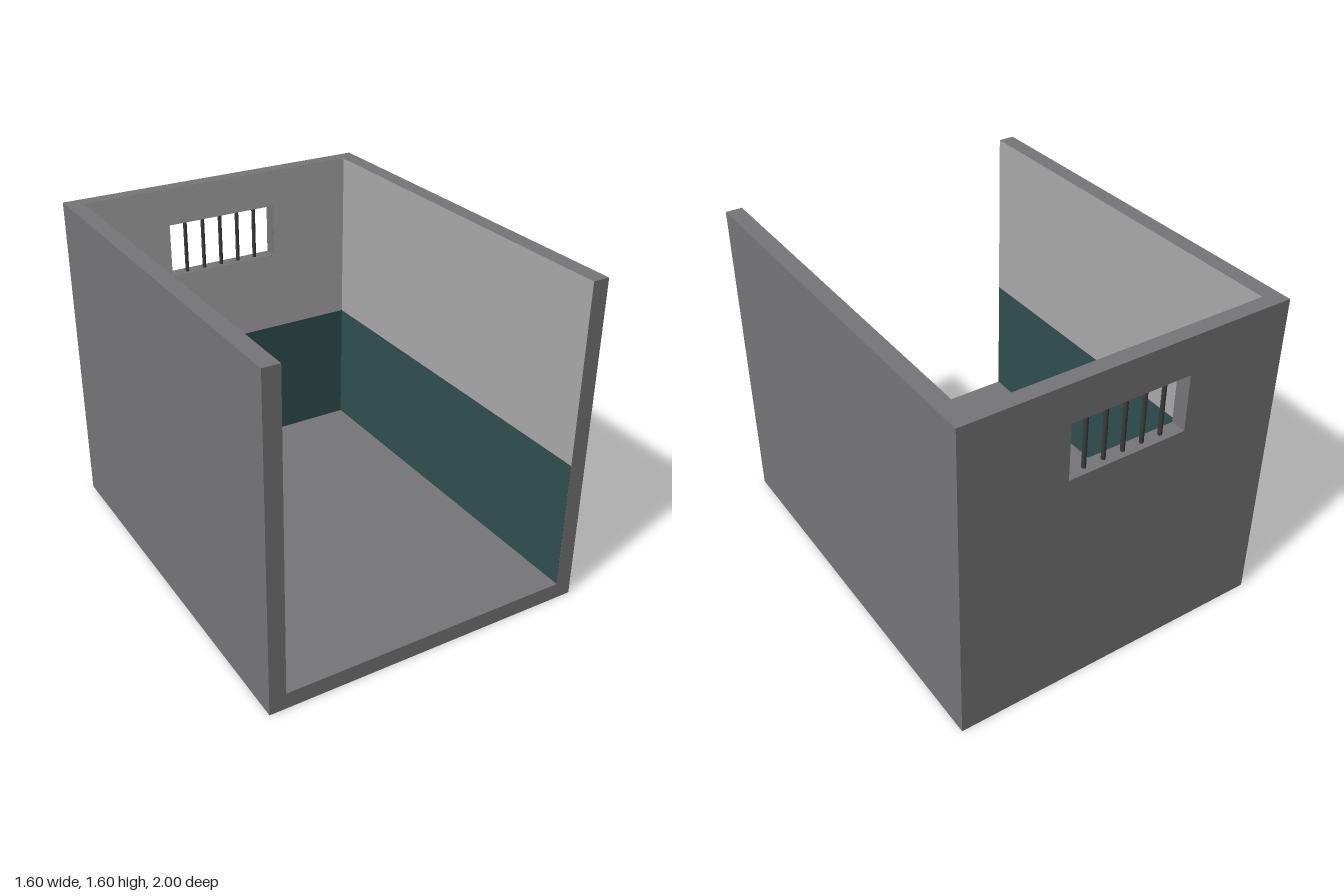
import * as THREE from 'three';

const W = 0.8, H = 1.6, D = 1, T = 0.08;       // half width, height, half depth, wall thickness
const IN = W - T, BACK = -0.925, PAINT = 0.725; // inner half width, back wall face, top of dado
const WIN = { x: 0.293, y0: 1.14, y1: 1.415 };

const material = (name, color, side = THREE.FrontSide) =>
  new THREE.MeshStandardMaterial({ name, color, side });

const polygon = (points) => new THREE.Shape(points.map(([x, y]) => new THREE.Vector2(x, y)));
const rectPoints = (x0, y0, x1, y1) => [[x0, y0], [x1, y0], [x1, y1], [x0, y1]];

// Rectangle with the window opening cut out
function windowedRect(x0, y0, x1, y1) {
  const shape = polygon(rectPoints(x0, y0, x1, y1));
  shape.holes.push(polygon(rectPoints(-WIN.x, WIN.y0, WIN.x, WIN.y1).reverse()));
  return shape;
}

export function createModel() {
  const concrete = material('concrete grey', 0x767678);
  const plaster = material('light plaster', 0xa9a9a9);
  const dado = material('dark green paint', 0x2f4f4d);
  const iron = material('dark iron', 0x3c3c3e);

  const model = new THREE.Group();
  model.name = 'cellRoom';
  const add = (name, geometry, mat, x = 0, y = 0, z = 0, ry = 0) => {
    const mesh = new THREE.Mesh(geometry, mat);
    mesh.name = name;
    mesh.position.set(x, y, z);
    mesh.rotation.y = ry;
    model.add(mesh);
  };

  // Floor and both side walls as one U-shaped extrusion
  const channel = polygon([[-W, 0], [W, 0], [W, H], [IN, H], [IN, T], [-IN, T], [-IN, H], [-W, H]]);
  add('floorAndSideWalls',
    new THREE.ExtrudeGeometry(channel, { depth: D - BACK, bevelEnabled: false }), concrete, 0, 0, BACK);

  // Back wall with window opening
  add('backWall',
    new THREE.ExtrudeGeometry(windowedRect(-W, 0, W, H), { depth: BACK + D, bevelEnabled: false }),
    concrete, 0, 0, -D);

  // Painted inner faces: green dado below, plaster above
  const skin = 0.001;
  add('backPlaster', new THREE.ShapeGeometry(windowedRect(-IN, PAINT, IN, H)), plaster, 0, 0, BACK + skin);
  add('backDado', new THREE.ShapeGeometry(polygon(rectPoints(-IN, T, IN, PAINT))), dado, 0, 0, BACK + skin);
  const depth = D - BACK, midZ = (D + BACK) / 2;
  for (const [side, s] of [['left', 1], ['right', -1]]) {
    const x = s * (IN - skin), turn = -s * Math.PI / 2;
    add(side + 'Plaster', new THREE.PlaneGeometry(depth, H - PAINT), plaster, x, (H + PAINT) / 2, midZ, turn);
    add(side + 'Dado', new THREE.PlaneGeometry(depth, PAINT - T), dado, x, (PAINT + T) / 2, midZ, turn);
  }

  // Window bars
  const barGeometry = new THREE.CylinderGeometry(0.01, 0.01, WIN.y1 - WIN.y0, 8);
  for (let i = -2; i <= 2; i++) {
    add('windowBar', barGeometry, iron, i * 0.097, (WIN.y0 + WIN.y1) / 2, (BACK - D) / 2);
  }
  return model;
}
